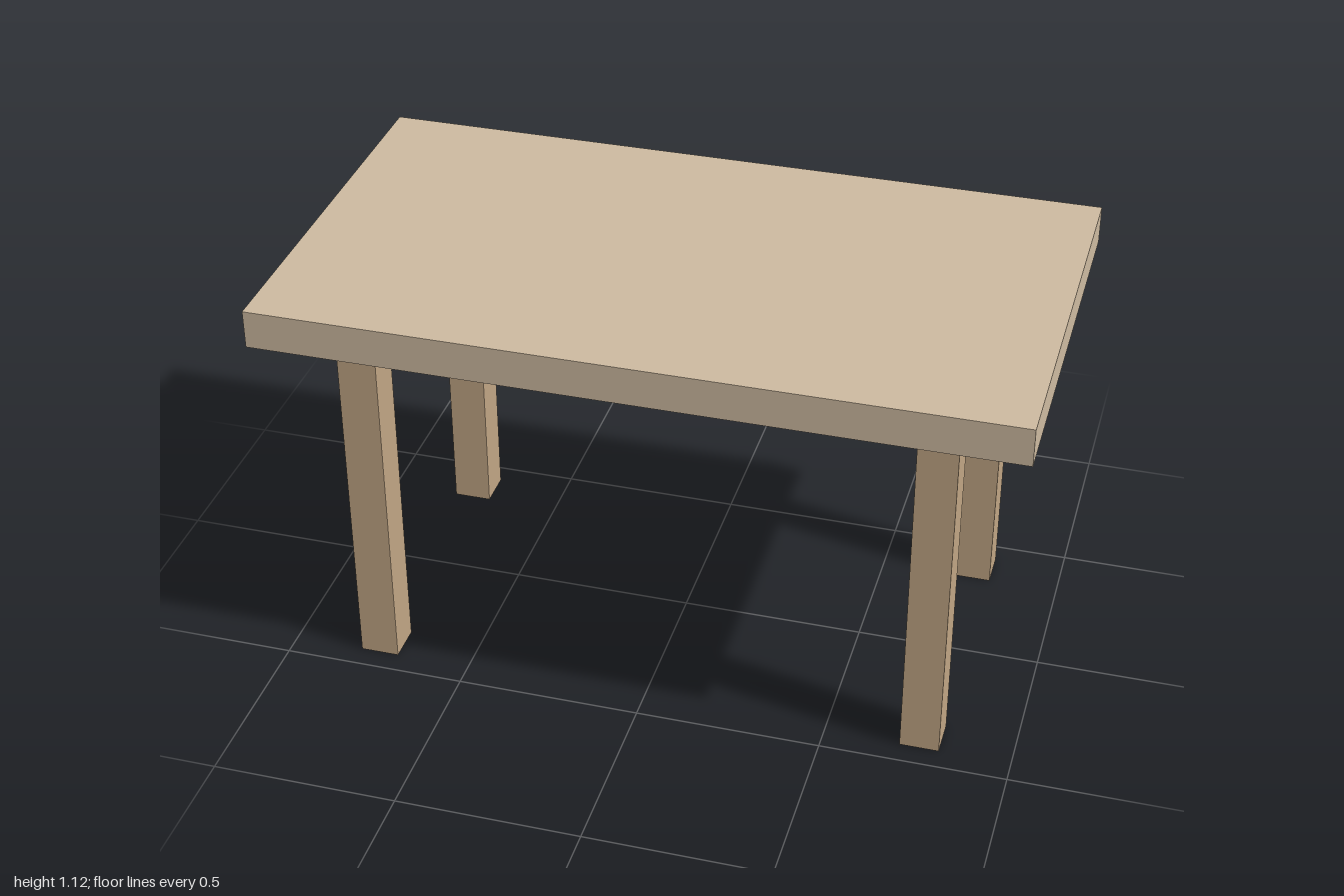
import * as THREE from 'three';

export function createModel() {
  const table = new THREE.Group();
  table.name = 'table';

  const topMaterial = new THREE.MeshStandardMaterial({ color: 0xcdbaa0 });
  const legMaterial = new THREE.MeshStandardMaterial({ color: 0xc0a584 });

  // Rectangular slab top
  const topBottom = 1.021, topThickness = 0.104;
  const top = new THREE.Mesh(new THREE.BoxGeometry(2, topThickness, 1.112), topMaterial);
  top.name = 'tabletop';
  top.position.y = topBottom + topThickness / 2;
  table.add(top);

  // Four square legs, ending just short of the top
  const legHeight = 1.015, legWidth = 0.105;
  const legGeometry = new THREE.BoxGeometry(legWidth, legHeight, legWidth);
  for (const x of [-1, 1]) {
    for (const z of [-1, 1]) {
      const leg = new THREE.Mesh(legGeometry, legMaterial);
      leg.name = (z > 0 ? 'front' : 'back') + (x > 0 ? 'Left' : 'Right') + 'Leg';
      leg.position.set(x * 0.756, legHeight / 2, z * 0.385);
      table.add(leg);
    }
  }

  return table;
}
